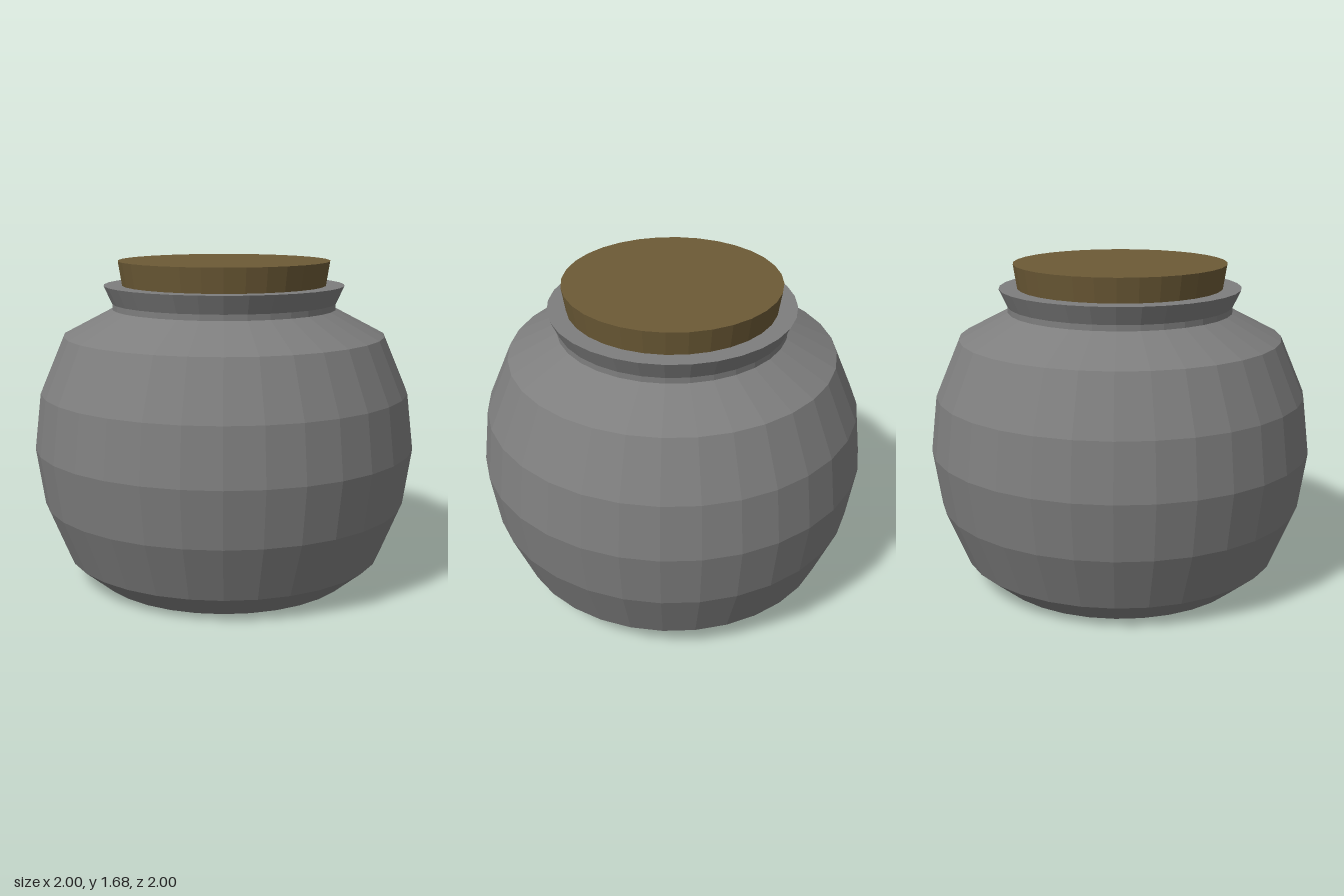
import * as THREE from 'three';

const SIDES = 32;
const CLAY = 0x7e7e7e;
const CORK = 0x6c5a36;

// Turned part from [radius, height] points, listed bottom to top
function turned(name, points, color) {
  const profile = points.map(([r, y]) => new THREE.Vector2(r, y));
  const mesh = new THREE.Mesh(
    new THREE.LatheGeometry(profile, SIDES),
    new THREE.MeshStandardMaterial({ color, flatShading: true })
  );
  mesh.name = name;
  return mesh;
}

export function createModel() {
  const group = new THREE.Group();
  group.name = 'stopperedJar';

  // Round belly with a flat base and sloping shoulder
  group.add(turned('body', [
    [0, 0], [0.685, 0], [0.84, 0.13], [0.957, 0.42], [1, 0.715],
    [0.965, 1.005], [0.84, 1.297], [0.585, 1.43],
  ], CLAY));

  // Short neck flaring to a flat rim that meets the stopper
  group.add(turned('neckAndRim', [
    [0.585, 1.43], [0.585, 1.46], [0.628, 1.553], [0.53, 1.553],
  ], CLAY));

  // Tapered cork stopper, seated inside the neck
  group.add(turned('stopper', [
    [0, 1.45], [0.517, 1.45], [0.553, 1.678], [0, 1.678],
  ], CORK));

  return group;
}
